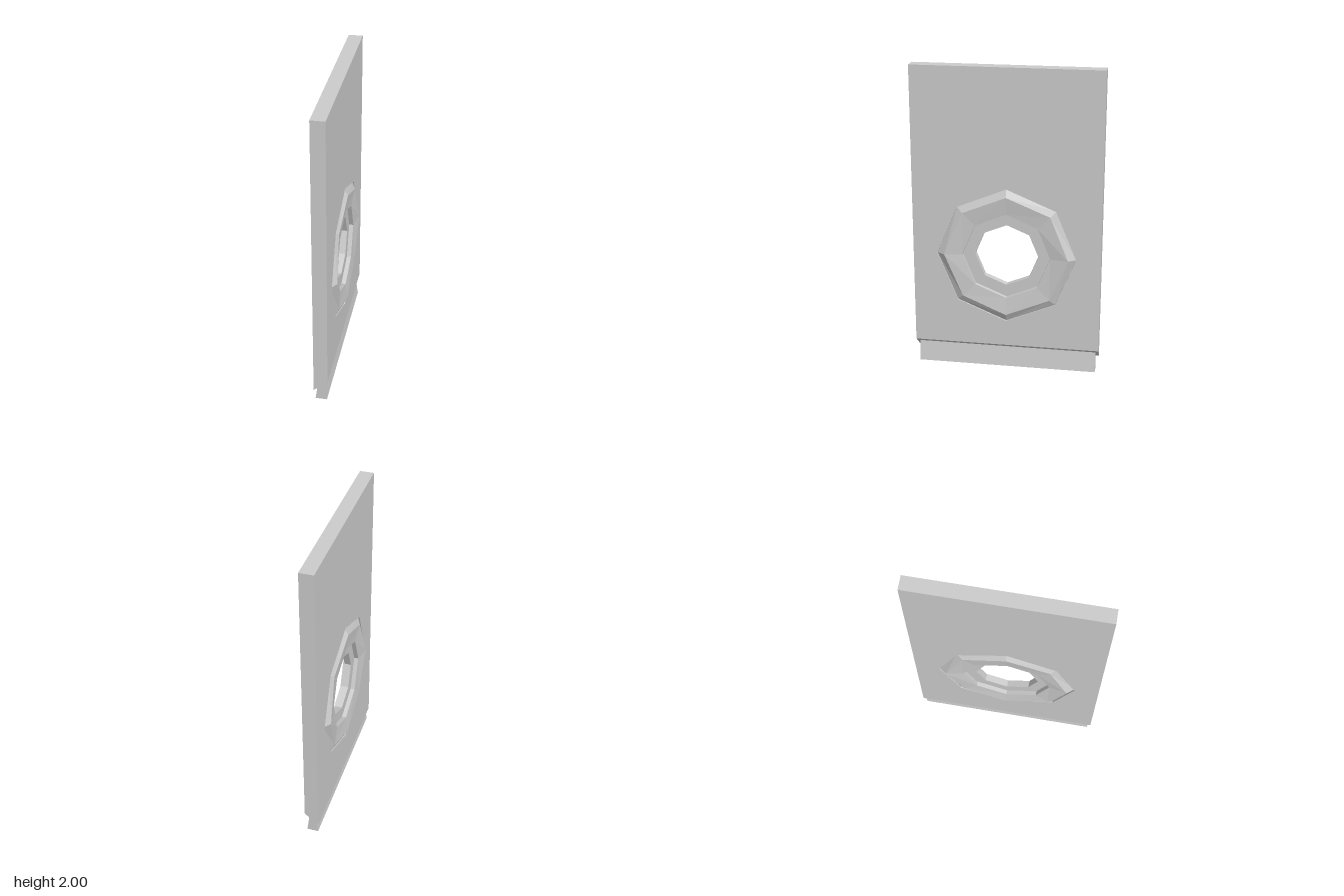
import * as THREE from 'three';

const CY = 0.78;   // height of the porthole centre
const HX = 0.045;  // half thickness of the panel
const material = new THREE.MeshStandardMaterial({ color: 0xcccccc, flatShading: true });

function addMesh(group, name, geometry) {
  geometry.computeVertexNormals();
  const mesh = new THREE.Mesh(geometry, material);
  mesh.name = name;
  group.add(mesh);
}

// Extrude a (z, y) outline symmetrically along x
function extrudeAlongX(shape, depth) {
  const g = new THREE.ExtrudeGeometry(shape, { depth, bevelEnabled: false });
  return g.translate(0, 0, -depth / 2).rotateY(Math.PI / 2);
}

function rectangle(halfWidth, y0, y1) {
  return new THREE.Shape([
    new THREE.Vector2(-halfWidth, y0), new THREE.Vector2(halfWidth, y0),
    new THREE.Vector2(halfWidth, y1), new THREE.Vector2(-halfWidth, y1),
  ]);
}

// Panel with an octagonal opening and a slanted lower edge
function panelGeometry() {
  const shape = rectangle(0.607, 0.1, 2);
  const hole = [];
  for (let i = 0; i < 8; i++) {
    const a = -i * Math.PI / 4;
    hole.push(new THREE.Vector2(0.45 * Math.cos(a), CY + 0.45 * Math.sin(a)));
  }
  shape.holes.push(new THREE.Path(hole));
  const g = extrudeAlongX(shape, HX * 2);
  const p = g.attributes.position;
  for (let i = 0; i < p.count; i++) {
    if (p.getY(i) < 0.2) p.setY(i, p.getX(i) > 0 ? 0.157 : 0.082);
  }
  return g;
}

// Eight-sided stepped ring, swept around the x axis
function ringGeometry() {
  const section = (i) => {
    const crest = i % 2 ? 0.058 : i % 4 ? 0.063 : 0.071;
    const half = [[0.45, 0.034], [0.4, crest], [0.285, 0.05], [0.285, 0.022], [0.205, 0.022]];
    return [...half, ...half.map(([r, x]) => [r, -x]).reverse()];
  };
  const positions = [];
  const index = [];
  const n = 10;
  for (let i = 0; i < 8; i++) {
    const a = i * Math.PI / 4;
    for (const [r, x] of section(i)) positions.push(x, CY + r * Math.sin(a), r * Math.cos(a));
    const next = (i + 1) % 8;
    for (let j = 0; j < n - 1; j++) {
      const p = i * n + j, q = next * n + j;
      index.push(p, p + 1, q, q, p + 1, q + 1);
    }
  }
  const g = new THREE.BufferGeometry();
  g.setAttribute('position', new THREE.Float32BufferAttribute(positions, 3));
  g.setIndex(index);
  return orientOutward(g.toNonIndexed());
}

// Make the first face (outer chamfer on the +x side) point towards +x
function orientOutward(g) {
  g.computeVertexNormals();
  if (g.attributes.normal.getX(0) < 0) {
    const p = g.attributes.position;
    const a = new THREE.Vector3(), b = new THREE.Vector3();
    for (let i = 0; i < p.count; i += 3) {
      a.fromBufferAttribute(p, i + 1);
      b.fromBufferAttribute(p, i + 2);
      p.setXYZ(i + 1, b.x, b.y, b.z);
      p.setXYZ(i + 2, a.x, a.y, a.z);
    }
  }
  return g;
}

// Tapered strip below the panel, narrowing upwards
function sealGeometry() {
  const g = new THREE.BoxGeometry(0.074, 0.15, 1.174).translate(0, 0.075, 0);
  const p = g.attributes.position;
  for (let i = 0; i < p.count; i++) {
    if (p.getY(i) > 0.1) p.setX(i, p.getX(i) * 0.45);
  }
  return g;
}

export function createModel() {
  const group = new THREE.Group();
  group.name = 'portholePanel';
  addMesh(group, 'panel', panelGeometry());
  addMesh(group, 'portholeRing', ringGeometry());
  addMesh(group, 'bottomSeal', sealGeometry());
  return group;
}
